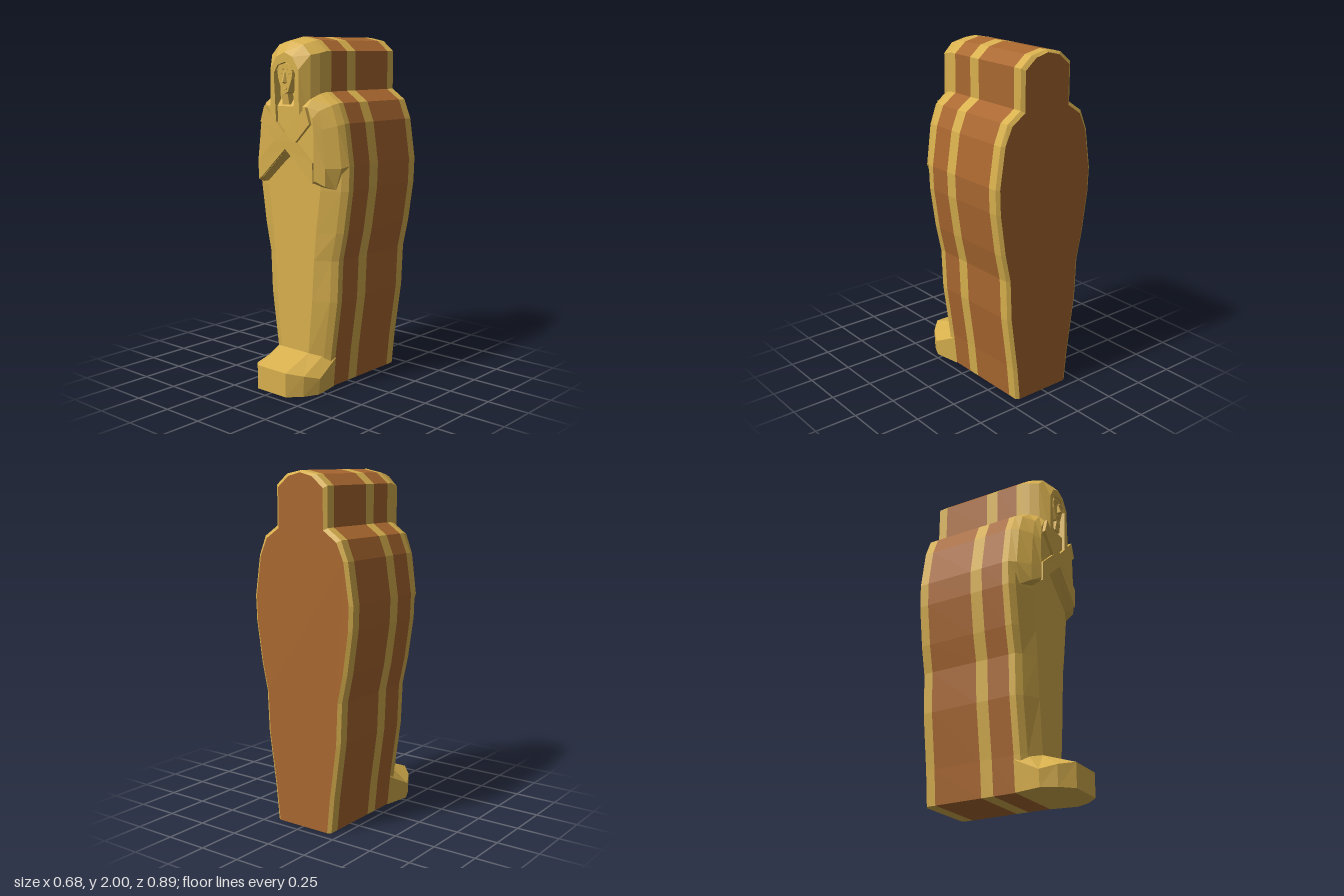
import * as THREE from 'three';

const gold = new THREE.MeshStandardMaterial({ color: 0xd8b04e, flatShading: true, side: THREE.DoubleSide });
const brown = new THREE.MeshStandardMaterial({ color: 0xaa6830, flatShading: true, side: THREE.DoubleSide });

// Completes a right-hand half path with its mirror image; points on x = 0 are not doubled.
const mirror = half => [
  ...half,
  ...half.slice().reverse().filter(p => p[0] !== 0).map(([x, ...r]) => [-x, ...r]),
];
const atZ = (path, z) => path.map(([x, y]) => [x, y, z]);

// Skins a series of rings with equal point counts.
function loft(rings, closed) {
  const pos = [], n = rings[0].length;
  for (let r = 0; r < rings.length - 1; r++) {
    for (let i = 0; i < (closed ? n : n - 1); i++) {
      const j = (i + 1) % n;
      const a = rings[r][i], b = rings[r][j], c = rings[r + 1][j], d = rings[r + 1][i];
      pos.push(...a, ...b, ...c, ...a, ...c, ...d);
    }
  }
  const g = new THREE.BufferGeometry();
  g.setAttribute('position', new THREE.Float32BufferAttribute(pos, 3));
  g.computeVertexNormals();
  return g;
}

const toShape = path => new THREE.Shape(path.map(p => new THREE.Vector2(p[0], p[1])));
const slab = (path, z0, z1) =>
  new THREE.ExtrudeGeometry(toShape(path), { depth: z1 - z0, bevelEnabled: false }).translate(0, 0, z0);

export function createModel() {
  const model = new THREE.Group();
  const add = (name, geometry, material = gold, parent = model) => {
    const m = new THREE.Mesh(geometry, material);
    m.name = name;
    parent.add(m);
    return m;
  };

  // Deep case: one outline drawn through coloured bands
  const side = [[0.19, 0], [0.21, 0.2], [0.255, 0.52], [0.265, 0.76], [0.3, 0.92], [0.335, 1.16], [0.34, 1.3]];
  const upper = [[0.305, 1.53], [0.26, 1.64], [0.172, 1.7], [0.172, 1.92], [0.1, 1.98], [0, 2]];
  const outline = mirror([...side, ...upper]);
  const inset = outline.map(([x, y]) => [x - Math.sign(x) * 0.02, y > 1.6 ? y - 0.012 : y]);
  const bands = [[-0.43, -0.375, gold], [-0.375, -0.08, brown], [-0.08, -0.005, gold], [-0.005, 0.13, brown]];
  bands.forEach(([z0, z1, mat], i) =>
    add('caseBand' + (i + 1), loft([atZ(outline, z0), atZ(outline, z1)], true), mat));
  add('backRim', loft([atZ(inset, -0.445), atZ(outline, -0.43)], true));
  add('backPanel', new THREE.ShapeGeometry(toShape(inset)).rotateY(Math.PI).translate(0, 0, -0.445), brown);

  // Tapered lid over the legs: horizontal sections from chest to ankle
  const panel = [0.09, 0.105, 0.135, 0.15, 0.165, 0.198, 0.2];
  const legs = side.map(([w, y], i) =>
    mirror([[w, y, 0.13], [w, y, 0.17], [w - 0.03, y, 0.2], [panel[i], y, 0.25]]));
  legs.push(mirror([[0.32, 1.42, 0.13], [0.31, 1.42, 0.17], [0.29, 1.42, 0.2], [0.2, 1.42, 0.25]]));
  add('legCover', loft(legs.reverse(), false));

  // Foot block
  const footTop = [[0.208, 0.175, 0.13], [0.17, 0.195, 0.2], [0.105, 0.21, 0.25], [0.1, 0.21, 0.25]];
  const footRim = [[0.21, 0.175, 0.13], [0.23, 0.095, 0.29], [0.185, 0.12, 0.375], [0.11, 0.14, 0.447]];
  const footSole = [[0.195, 0, 0.13], [0.222, 0, 0.29], [0.18, 0, 0.375], [0.11, 0, 0.447]];
  const soleCentre = footSole.map(() => [0.001, 0, 0.13]);
  add('footBlock', loft([footTop, footRim, footSole, soleCentre].map(mirror), false));

  // Shoulders and upper arms: nested rings rising to the chest
  const armBack = [[0, 1.34], [0.2, 1.18], [0.29, 1.2], [0.34, 1.3], [0.305, 1.53], [0.26, 1.64], [0.17, 1.7]];
  const armMid = [[0, 1.34], [0.2, 1.17], [0.28, 1.17], [0.32, 1.29], [0.29, 1.52], [0.25, 1.63], [0.165, 1.69]];
  const armFront = [[0, 1.375], [0.2, 1.195], [0.255, 1.19], [0.255, 1.29], [0.235, 1.5], [0.21, 1.6], [0.155, 1.66]];
  const chest = [[0, 1.385], [0.19, 1.21], [0.205, 1.22], [0.2, 1.3], [0.2, 1.47], [0.19, 1.56], [0.155, 1.62]];
  const armRings = [[armBack, 0.13], [armBack, 0.17], [armMid, 0.215], [armFront, 0.275], [chest, 0.308]];
  add('shouldersAndArms', loft(armRings.map(([p, z]) => atZ(mirror(p), z)), true));
  add('chest', new THREE.ShapeGeometry(toShape(mirror(chest))).translate(0, 0, 0.308));

  // Crossed forearms, slightly thicker toward the hands
  const cross = mirror([[0, 1.385], [0.2, 1.205], [0.2, 1.32], [0.08, 1.425], [0.185, 1.53], [0.155, 1.62], [0, 1.47]]);
  const forearms = slab(cross, 0.28, 0.316);
  const fp = forearms.attributes.position;
  for (let i = 0; i < fp.count; i++) {
    if (fp.getZ(i) > 0.3) fp.setZ(i, 0.316 + 0.012 * THREE.MathUtils.clamp((fp.getY(i) - 1.25) / 0.2, 0, 1));
  }
  forearms.computeVertexNormals();
  add('crossedForearms', forearms);

  // Headdress: stepped arches leading in to the face opening
  const arches = [
    [[[0.172, 1.6], [0.172, 1.92], [0.1, 1.98], [0, 2]], 0.13],
    [[[0.172, 1.6], [0.172, 1.92], [0.1, 1.98], [0, 2]], 0.17],
    [[[0.165, 1.6], [0.165, 1.91], [0.1, 1.97], [0, 1.99]], 0.215],
    [[[0.145, 1.5], [0.145, 1.9], [0.09, 1.955], [0, 1.975]], 0.27],
    [[[0.11, 1.5], [0.105, 1.82], [0.06, 1.89], [0, 1.915]], 0.325],
    [[[0.063, 1.5], [0.08, 1.8], [0.052, 1.845], [0, 1.862]], 0.325],
    [[[0.063, 1.5], [0.08, 1.8], [0.052, 1.845], [0, 1.862]], 0.275],
  ];
  add('headdress', loft(arches.map(([p, z]) => atZ(mirror(p), z)), false));
  add('throat', new THREE.PlaneGeometry(0.17, 0.4).translate(0, 1.67, 0.278));

  // Face
  const face = new THREE.Group();
  face.name = 'face';
  model.add(face);
  const faceEdge = mirror([[0, 1.685], [0.032, 1.695], [0.07, 1.77], [0.08, 1.82], [0.055, 1.85], [0, 1.862]]);
  const faceFlat = mirror([[0, 1.692], [0.022, 1.7], [0.05, 1.77], [0.058, 1.82], [0.045, 1.845], [0, 1.855]]);
  add('faceSides', loft([atZ(faceEdge, 0.278), atZ(faceFlat, 0.32)], true), gold, face);
  add('faceFront', new THREE.ShapeGeometry(toShape(faceFlat)).translate(0, 0, 0.32), gold, face);
  const noseBase = mirror([[0, 1.742], [0.017, 1.748], [0.006, 1.81], [0, 1.815]]);
  const noseTip = mirror([[0, 1.752], [0.005, 1.754], [0.003, 1.806], [0, 1.81]])
    .map(([x, y]) => [x, y, 0.342 - (y - 1.752) * 0.3]);
  add('nose', loft([atZ(noseBase, 0.318), noseTip, noseTip.map(() => [0, 1.77, 0.338])], true), gold, face);
  for (const s of [-1, 1]) {
    const eye = [[0.014, 1.803], [0.03, 1.795], [0.052, 1.803], [0.034, 1.811]].map(([x, y]) => [s * x, y]);
    add(s > 0 ? 'leftEye' : 'rightEye', slab(eye, 0.315, 0.324), gold, face);
    const brow = [[0.01, 1.818], [0.035, 1.822], [0.057, 1.814], [0.056, 1.82], [0.034, 1.83], [0.01, 1.826]]
      .map(([x, y]) => [s * x, y]);
    add(s > 0 ? 'leftBrow' : 'rightBrow', slab(brow, 0.315, 0.327), gold, face);
  }
  const upperLip = mirror([[0, 1.722], [0.02, 1.722], [0.008, 1.732], [0, 1.729]]);
  const lowerLip = mirror([[0, 1.708], [0.01, 1.71], [0.018, 1.719], [0, 1.719]]);
  add('upperLip', slab(upperLip, 0.315, 0.328), gold, face);
  add('lowerLip', slab(lowerLip, 0.315, 0.327), gold, face);

  // Ceremonial beard, sloping back to the throat
  const beardTop = [[-0.022, 1.69, 0.278], [-0.022, 1.69, 0.322], [0.022, 1.69, 0.322], [0.022, 1.69, 0.278]];
  const beardEnd = [[-0.026, 1.63, 0.278], [-0.026, 1.63, 0.312], [0.026, 1.63, 0.312], [0.026, 1.63, 0.278]];
  const beardCap = beardEnd.map(() => [0, 1.63, 0.29]);
  add('beard', loft([beardCap, beardEnd, beardTop], true), gold, face);

  return model;
}
